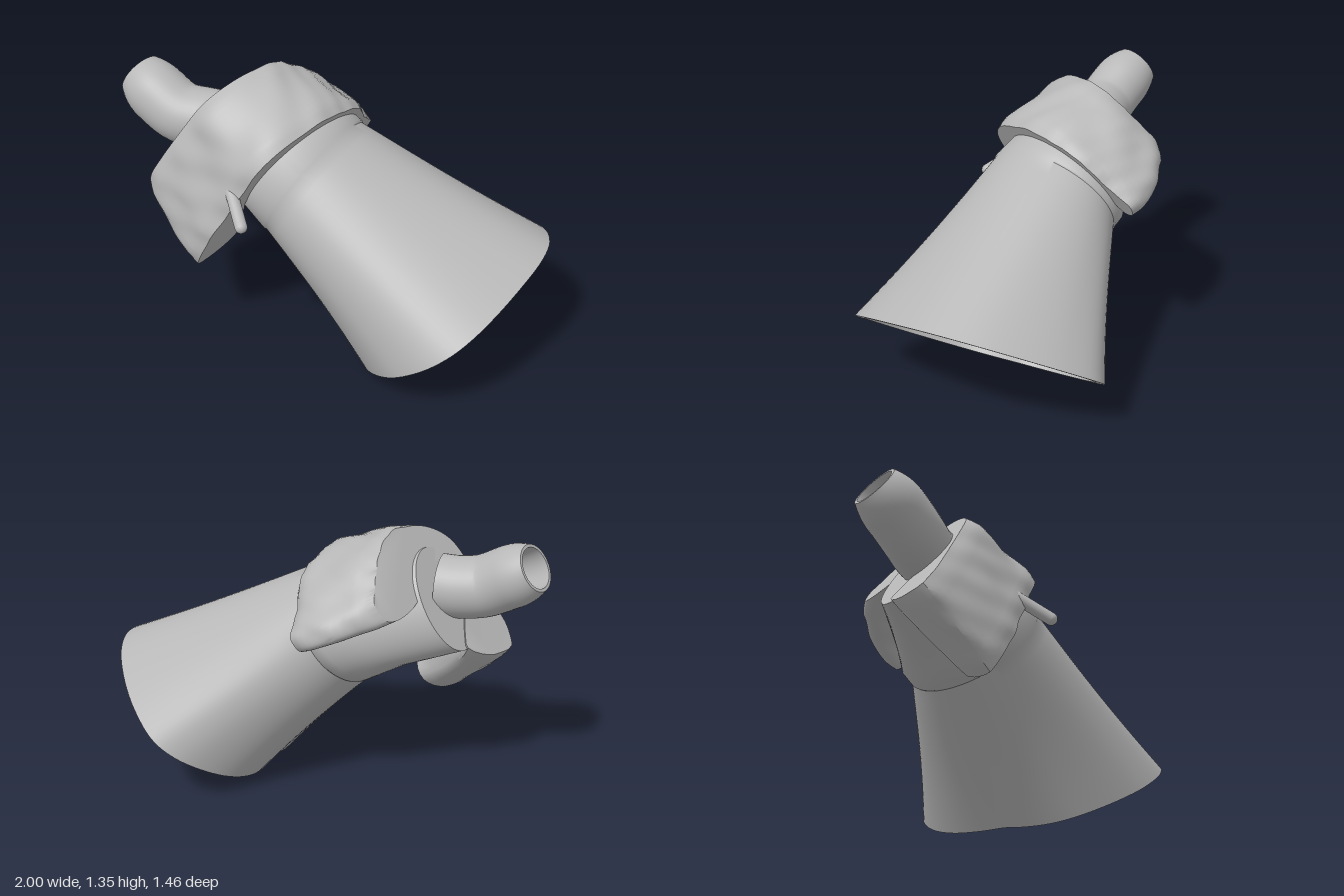
import * as THREE from 'three';
import { toCreasedNormals } from 'three/addons/utils/BufferGeometryUtils.js';

const V3 = (x, y, z) => new THREE.Vector3(x, y, z);

// Tilted frame of the collar: U sideways, V up, N along the axis to the nozzle
const N = V3(-0.855, 0.51, 0.085).normalize();
const U = V3(0, 0, 1).addScaledVector(N, -N.z).normalize();
const V = N.clone().cross(U);
const O = V3(-0.2, 0.84, 0.17);
const place = (u, v, n) => O.clone().addScaledVector(U, u).addScaledVector(V, v).addScaledVector(N, n);

// Skin a list of closed rings; each cap is 1 (faces N), -1 (faces away) or 0 (open)
function loft(rings, startCap = 0, endCap = 0, crease = 0.7) {
  const m = rings[0].length, pos = [], idx = [];
  rings.forEach(r => r.forEach(p => pos.push(p.x, p.y, p.z)));
  for (let i = 0; i < rings.length - 1; i++) {
    for (let j = 0; j < m; j++) {
      const a = i * m + j, b = i * m + (j + 1) % m;
      idx.push(a, b, a + m, b, b + m, a + m);
    }
  }
  const cap = (k, side) => {
    if (!side) return;
    const flat = rings[k].map(p => new THREE.Vector2(p.dot(U), p.dot(V)));
    const reversed = THREE.ShapeUtils.isClockWise(flat);
    if (reversed) flat.reverse();
    THREE.ShapeUtils.triangulateShape(flat, []).forEach(f => {
      const [a, b, c] = f.map(i => k * m + (reversed ? m - 1 - i : i));
      idx.push(...(side > 0 ? [a, b, c] : [a, c, b]));
    });
  };
  cap(0, startCap);
  cap(rings.length - 1, endCap);
  const g = new THREE.BufferGeometry();
  g.setAttribute('position', new THREE.Float32BufferAttribute(pos, 3));
  g.setIndex(idx);
  return toCreasedNormals(g, crease);
}

const closedCurve = pts => new THREE.CatmullRomCurve3(pts, true, 'centripetal');

// Flared hollow body: sleeve inside the collar, then a flare to a slanted bean-shaped rim
function bodyGeometry() {
  const M = 96;
  const rimZY = [[0.22, 0], [0.1, 0.01], [0, 0.03], [-0.1, 0.03], [-0.25, 0.05], [-0.4, 0.1], [-0.55, 0.18],
    [-0.67, 0.27], [-0.725, 0.35], [-0.7, 0.45], [-0.62, 0.54], [-0.5, 0.61], [-0.38, 0.635], [-0.25, 0.625],
    [-0.1, 0.59], [0.1, 0.53], [0.25, 0.47], [0.35, 0.41], [0.42, 0.33], [0.45, 0.22], [0.43, 0.14],
    [0.37, 0.06], [0.3, 0.015]];
  const rimPoint = (z, y) => V3(0.175 + 1.46 * y + 0.52 * z, y, z);
  const rim = closedCurve(rimZY.map(([z, y]) => rimPoint(z, y))).getSpacedPoints(M).slice(0, M);
  const rimMid = rimPoint(-0.12, 0.31);
  const oval = (cu, cv, ru, rv, n, tilt = 0) => Array.from({ length: M }, (_, j) => {
    const a = -Math.PI / 3 - j / M * Math.PI * 2;
    return place(cu + ru * Math.cos(a), cv + rv * Math.sin(a), n - tilt * Math.cos(a));
  });
  const sleeve = (n, d, tilt) => oval(0.015, 0.042, 0.37 - d, 0.315 - d, n, tilt);
  const flare = (s, d) => {
    const neck = sleeve(-0.09, 0.006, 0.055);
    const mid = place(0.015, 0.042, -0.09).lerp(rimMid, s);
    return neck.map((p, j) => {
      const q = p.lerp(rim[j], s).sub(mid);
      const len = q.length();
      return q.multiplyScalar((len - d) / len * (1 - 0.02 * Math.sin(Math.PI * s))).add(mid);
    });
  };
  const steps = Array.from({ length: 15 }, (_, i) => i / 14);
  return loft([
    oval(0.16, -0.04, 0.18, 0.26, 0.43), oval(0.05, 0.02, 0.29, 0.285, 0.16),
    sleeve(0.03, 0.004), sleeve(-0.08, 0, 0.055),
    ...steps.map(s => flare(s, 0)),
    ...steps.slice().reverse().map(s => flare(s, 0.045)),
    sleeve(0.02, 0.05), oval(0.06, 0.02, 0.24, 0.235, 0.16),
    oval(0.18, -0.01, 0.15, 0.17, 0.36), oval(0.2, 0, 0.1, 0.1, 0.415),
  ], 1, -1);
}

// Rough arched collar, narrower towards the nozzle
function collarGeometry() {
  const front = [[0.53, -0.48], [0.55, -0.25], [0.51, -0.08], [0.47, 0.08], [0.43, 0.23], [0.32, 0.35],
    [0.15, 0.41], [0, 0.42], [-0.15, 0.38], [-0.3, 0.28], [-0.41, 0.15], [-0.49, 0.06], [-0.48, -0.01],
    [-0.42, -0.02], [-0.34, 0.1], [-0.24, 0.25], [0, 0.345], [0.2, 0.315], [0.35, 0.2], [0.39, 0],
    [0.36, -0.2], [0.32, -0.4]];
  const back = [[0.49, -0.39], [0.5, -0.2], [0.47, -0.06], [0.43, 0.08], [0.39, 0.2], [0.28, 0.3],
    [0.14, 0.36], [0, 0.36], [-0.1, 0.32], [-0.2, 0.24], [-0.27, 0.14], [-0.31, 0.05], [-0.29, -0.03],
    [-0.2, -0.05], [-0.04, 0], [0, 0.08], [0.05, 0.14], [0.14, 0.17], [0.26, 0.13], [0.31, 0],
    [0.25, -0.15], [0.18, -0.32]];
  const M = 132, steps = 14, rings = [];
  for (let i = 0; i <= steps; i++) {
    const t = i / steps;
    const curve = closedCurve(front.map(([u, v], k) =>
      V3(u + (back[k][0] - u) * (u < 0 ? t * t : t), v + (back[k][1] - v) * t, 0)));
    const edge = Math.max(0, Math.abs(t - 0.5) - 0.38) * 0.15;
    rings.push(Array.from({ length: M }, (_, j) => {
      const p = curve.getPoint(j / M);
      const depth = t * (0.42 + 0.07 * p.x - 0.03 * p.y);
      // Uneven, hand-worked surface
      const bump = 0.004 * Math.sin(19 * p.x + 8 * t) + 0.004 * Math.sin(25 * p.y - 6 * t + 2 * p.x)
        + 0.003 * Math.sin(41 * (p.x + p.y) + 11 * t) - edge;
      const r = p.length();
      p.multiplyScalar((r + bump) / r);
      return place(p.x, p.y, depth);
    }));
  }
  return loft(rings, -1, 1);
}

// Bent hollow nozzle with a tapered mouth
function nozzleGeometry() {
  const path = new THREE.CatmullRomCurve3([V3(-0.51, 1.06, 0.41), V3(-0.59, 1.06, 0.445),
    V3(-0.69, 1.075, 0.505), V3(-0.81, 1.14, 0.54), V3(-0.94, 1.215, 0.555)]);
  const S = 20, M = 40, { normals, binormals } = path.computeFrenetFrames(S);
  const ring = (i, r) => {
    const c = path.getPointAt(i / S);
    return Array.from({ length: M }, (_, j) => {
      const a = j / M * Math.PI * 2;
      return c.clone().addScaledVector(normals[i], r * Math.cos(a)).addScaledVector(binormals[i], r * Math.sin(a));
    });
  };
  const outer = [], inner = [];
  for (let i = 0; i <= S; i++) {
    const taper = Math.max(0, i / S - 0.72) / 0.28;
    outer.push(ring(i, 0.15 - 0.035 * taper * taper));
    inner.unshift(ring(i, 0.1));
  }
  return loft([...outer, ...inner]);
}

export function createModel() {
  const group = new THREE.Group();
  const grey = new THREE.MeshStandardMaterial({ color: 0xb8b8b8, side: THREE.DoubleSide });
  grey.name = 'plain grey';
  const add = (name, geometry) => {
    const mesh = new THREE.Mesh(geometry, grey);
    mesh.name = name;
    group.add(mesh);
    return mesh;
  };
  add('flaredBody', bodyGeometry());
  add('collar', collarGeometry());
  add('nozzle', nozzleGeometry());

  // Small round-ended pin on the side of the collar
  const a = V3(-0.26, 0.92, 0.59), b = V3(-0.05, 0.785, 0.692);
  const pin = add('pin', new THREE.CapsuleGeometry(0.03, a.distanceTo(b), 8, 20));
  pin.position.copy(a).add(b).multiplyScalar(0.5);
  pin.quaternion.setFromUnitVectors(V3(0, 1, 0), b.clone().sub(a).normalize());
  return group;
}
